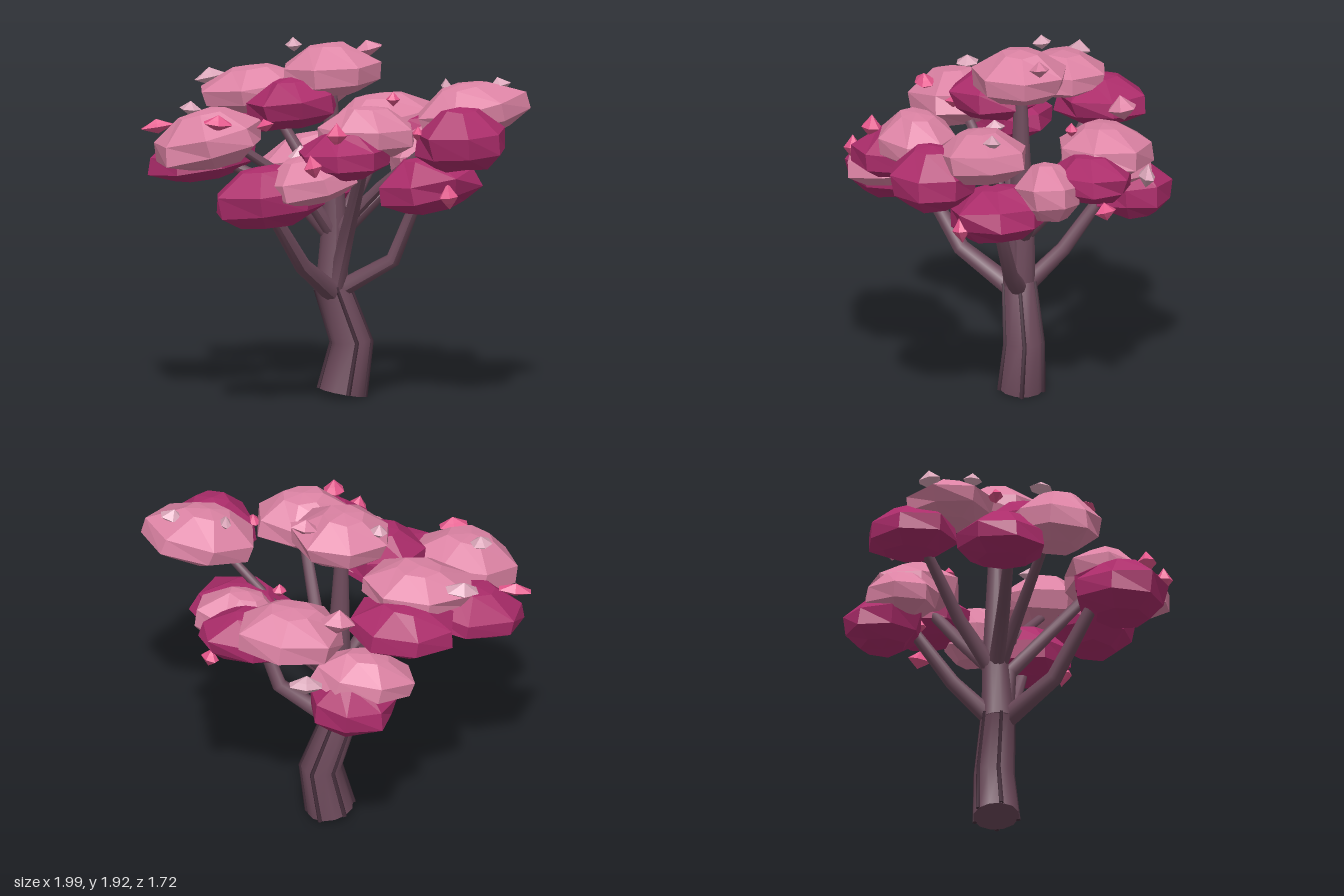
import * as THREE from 'three';

const mat = (name, color) => Object.assign(new THREE.MeshStandardMaterial({ color }), { name });
const V = (p) => new THREE.Vector3(...p);

// repeatable pseudo-random numbers
function seeded(seed) {
  let s = seed * 7919 + 17;
  return () => (s = (s * 16807 + 11) % 2147483647) / 2147483647;
}

// tapering limb: a cylinder whose rows are moved onto a bent path
function limbGeometry(path, radii, sides = 12) {
  const pts = path.map(V), n = pts.length;
  const g = new THREE.CylinderGeometry(1, 1, 1, sides, n - 1);
  const turns = pts.map((p, k) => {
    const t = new THREE.Vector3();
    if (k > 0) t.add(p.clone().sub(pts[k - 1]).normalize());
    if (k < n - 1) t.add(pts[k + 1].clone().sub(p).normalize());
    return new THREE.Quaternion().setFromUnitVectors(new THREE.Vector3(0, 1, 0), t.normalize());
  });
  const pos = g.attributes.position, v = new THREE.Vector3();
  for (let i = 0; i < pos.count; i++) {
    v.fromBufferAttribute(pos, i);
    const k = Math.round((v.y + 0.5) * (n - 1));
    v.setY(0).multiplyScalar(radii[k]).applyQuaternion(turns[k]).add(pts[k]);
    pos.setXYZ(i, v.x, v.y, v.z);
  }
  g.computeVertexNormals();
  return g;
}

// faceted foliage clump, tilted and then fitted to the given half sizes
const CLUMP = [[0, -1], [0.58, -0.94], [0.97, -0.5], [1, 0.18], [0.42, 0.9], [0, 1]];
function clumpGeometry(half, tilt, seed) {
  const sides = 7, rows = CLUMP.length, rnd = seeded(seed);
  let g = new THREE.LatheGeometry(CLUMP.map((p) => new THREE.Vector2(...p)), sides);
  const jitter = Array.from({ length: sides * rows }, () => [0.92 + rnd() * 0.16, (rnd() - 0.5) * 0.1]);
  const pos = g.attributes.position;
  for (let i = 0; i < pos.count; i++) {
    const j = i % rows, col = Math.floor(i / rows) % sides;
    if (j === 0 || j === rows - 1) continue;
    const [s, dy] = jitter[col * rows + j];
    pos.setXYZ(i, pos.getX(i) * s, pos.getY(i) + dy, pos.getZ(i) * s);
  }
  g.rotateY(rnd() * 6.28);
  g.scale(half[0], half[1], half[2]);
  g.rotateZ(tilt);
  g.center();
  const b = g.boundingBox.getSize(new THREE.Vector3());
  g.scale((2 * half[0]) / b.x, (2 * half[1]) / b.y, (2 * half[2]) / b.z);
  g = g.toNonIndexed();
  g.computeVertexNormals();
  return g;
}

// faceted petal: a slightly pinched double pyramid
const PETAL = [[0, -1], [0.55, -0.5], [1, -0.05], [0.55, 0.4], [0, 1]];
function petalGeometry(half) {
  const g = new THREE.LatheGeometry(PETAL.map((p) => new THREE.Vector2(...p)), 6).toNonIndexed();
  g.scale(...half);
  g.computeVertexNormals();
  return g;
}

export function createModel() {
  const tree = new THREE.Group();
  tree.name = 'blossomTree';
  const bark = mat('bark', 0x6e4b5c);
  const groove = mat('barkGroove', 0x47303d);
  const pink = mat('pinkBlossom', 0xdc83a4);
  const dark = mat('magentaBlossom', 0xab2c6a);
  const pale = mat('palePetal', 0xd9a5b8);
  const hot = mat('hotPetal', 0xe3558a);

  const add = (name, geometry, material, at = [0, 0, 0]) => {
    const m = new THREE.Mesh(geometry, material);
    m.name = name;
    m.position.set(...at);
    tree.add(m);
    return m;
  };

  // trunk with a knee, and its thin leader
  const trunk = [[0.058, 0.025, -0.035], [0.11, 0.3, -0.035], [0.005, 0.6, -0.04]];
  const trunkRadii = [0.125, 0.108, 0.09];
  add('trunk', limbGeometry(trunk, trunkRadii), bark);
  add('leader', limbGeometry([[0.005, 0.57, -0.04], [0.02, 0.92, -0.05], [0, 1.66, -0.05]], [0.09, 0.07, 0.035]), bark);

  // dark ridges running up the trunk
  for (const a of [0.1, 1.3, 2.5, 3.6, 4.7]) {
    const path = trunk.map(([x, y, z], k) => {
      const r = trunkRadii[k];
      return [x + r * Math.sin(a), y - 0.2 * r * Math.sin(a) * (1 - k), z + r * Math.cos(a)];
    });
    add('barkRidge', limbGeometry(path, [0.013, 0.012, 0.01], 5), groove);
  }

  // branches: path, start radius
  const branches = [
    [[[0, 0.57, 0], [-0.2, 0.75, 0.22], [-0.43, 1.12, 0.39]], 0.055],
    [[[0.01, 0.57, 0], [0.07, 0.88, 0.04], [0.1, 1.38, 0.46]], 0.05],
    [[[0.03, 0.57, -0.03], [0.31, 0.75, 0.1], [0.44, 1.14, 0.22]], 0.05],
    [[[0.01, 0.57, -0.07], [0.03, 0.77, -0.28], [0.06, 1.14, -0.55]], 0.05],
    [[[0.01, 0.86, -0.05], [-0.2, 1.1, -0.06], [-0.6, 1.29, -0.12]], 0.045],
    [[[0.01, 0.88, -0.03], [-0.17, 1.14, 0.04], [-0.58, 1.42, 0.1]], 0.04],
    [[[0.03, 0.86, -0.05], [0.26, 1.08, -0.05], [0.5, 1.28, -0.04]], 0.045],
    [[[0.03, 0.88, -0.07], [0.17, 1.08, -0.2], [0.38, 1.4, -0.38]], 0.045],
    [[[0.01, 0.88, -0.08], [-0.03, 1.12, -0.26], [-0.22, 1.48, -0.52]], 0.045],
    [[[0.03, 0.9, -0.02], [0.24, 1.14, 0.08], [0.62, 1.54, 0.4]], 0.035],
  ];
  for (const [path, r] of branches) add('branch', limbGeometry(path, [r, r * 0.82, r * 0.6], 9), bark);

  // foliage clumps: material, centre, half sizes, tilt
  const clumps = [
    [pink, [0, 1.77, -0.06], [0.265, 0.14, 0.245], 0.05],
    [dark, [-0.22, 1.61, 0.05], [0.245, 0.135, 0.235], 0.12],
    [pink, [-0.35, 1.625, -0.4], [0.3, 0.125, 0.23], 0.12],
    [pink, [0.355, 1.435, -0.41], [0.29, 0.145, 0.245], 0.12],
    [dark, [-0.235, 1.5, -0.565], [0.29, 0.14, 0.235], 0.15],
    [dark, [0.045, 1.1, -0.65], [0.23, 0.155, 0.21], 0.1],
    [pink, [0, 1.22, -0.58], [0.28, 0.145, 0.2], 0.25],
    [dark, [-0.685, 1.305, -0.18], [0.285, 0.14, 0.24], 0.15],
    [pink, [-0.685, 1.435, 0.115], [0.285, 0.165, 0.235], 0.25],
    [dark, [0.52, 1.35, -0.285], [0.29, 0.135, 0.21], 0.15],
    [pink, [0.56, 1.3, -0.02], [0.24, 0.165, 0.17], 0.25],
    [dark, [0.485, 1.18, 0.225], [0.28, 0.16, 0.25], 0.2],
    [dark, [0.59, 1.475, 0.63], [0.245, 0.17, 0.23], 0.06],
    [pink, [0.695, 1.585, 0.365], [0.305, 0.16, 0.24], 0.27],
    [pink, [0.09, 1.515, 0.57], [0.265, 0.14, 0.21], 0],
    [dark, [-0.04, 1.405, 0.61], [0.24, 0.13, 0.25], 0.06],
    [pink, [-0.24, 1.275, 0.62], [0.25, 0.14, 0.24], 0.27],
    [dark, [-0.435, 1.175, 0.52], [0.3, 0.165, 0.25], 0.1],
  ];
  clumps.forEach(([m, at, half, tilt], i) => add('foliageClump', clumpGeometry(half, tilt, i + 1), m, at));

  // loose petals: material, centre, half sizes
  const petals = [
    [pale, [-0.17, 1.88, -0.22], [0.045, 0.04, 0.055]],
    [pink, [0.21, 1.87, -0.09], [0.085, 0.045, 0.055]],
    [pale, [0.84, 1.72, 0.37], [0.07, 0.045, 0.05]],
    [pale, [0.57, 1.71, 0.27], [0.03, 0.04, 0.06]],
    [hot, [-0.67, 1.54, 0.28], [0.085, 0.045, 0.055]],
    [hot, [-0.9, 1.45, -0.27], [0.1, 0.04, 0.04]],
    [pale, [-0.77, 1.585, 0.01], [0.06, 0.04, 0.065]],
    [pale, [-0.56, 1.67, -0.55], [0.1, 0.05, 0.06]],
    [pale, [-0.26, 1.4, 0.52], [0.08, 0.05, 0.05]],
    [pink, [0.12, 1.57, -0.58], [0.1, 0.07, 0.08]],
    [pale, [0.31, 1.24, -0.66], [0.1, 0.065, 0.045]],
    [hot, [-0.25, 1.37, 0.81], [0.055, 0.065, 0.05]],
    [hot, [-0.11, 1.53, 0.75], [0.06, 0.065, 0.055]],
    [hot, [0.36, 1.5, 0.58], [0.035, 0.04, 0.05]],
    [hot, [0.55, 1.14, 0.45], [0.055, 0.075, 0.05]],
    [hot, [-0.4, 1.51, 0.2], [0.055, 0.035, 0.05]],
    [hot, [0.37, 1.57, -0.22], [0.04, 0.04, 0.035]],
    [hot, [0.14, 1.14, -0.45], [0.06, 0.06, 0.05]],
    [hot, [0.76, 1.235, -0.29], [0.045, 0.05, 0.065]],
  ];
  const rnd = seeded(41);
  for (const [m, at, half] of petals) {
    add('petal', petalGeometry(half), m, at).rotation.set(rnd() * 0.3 - 0.15, rnd() * 0.5 - 0.25, rnd() * 0.4 - 0.1);
  }
  return tree;
}
